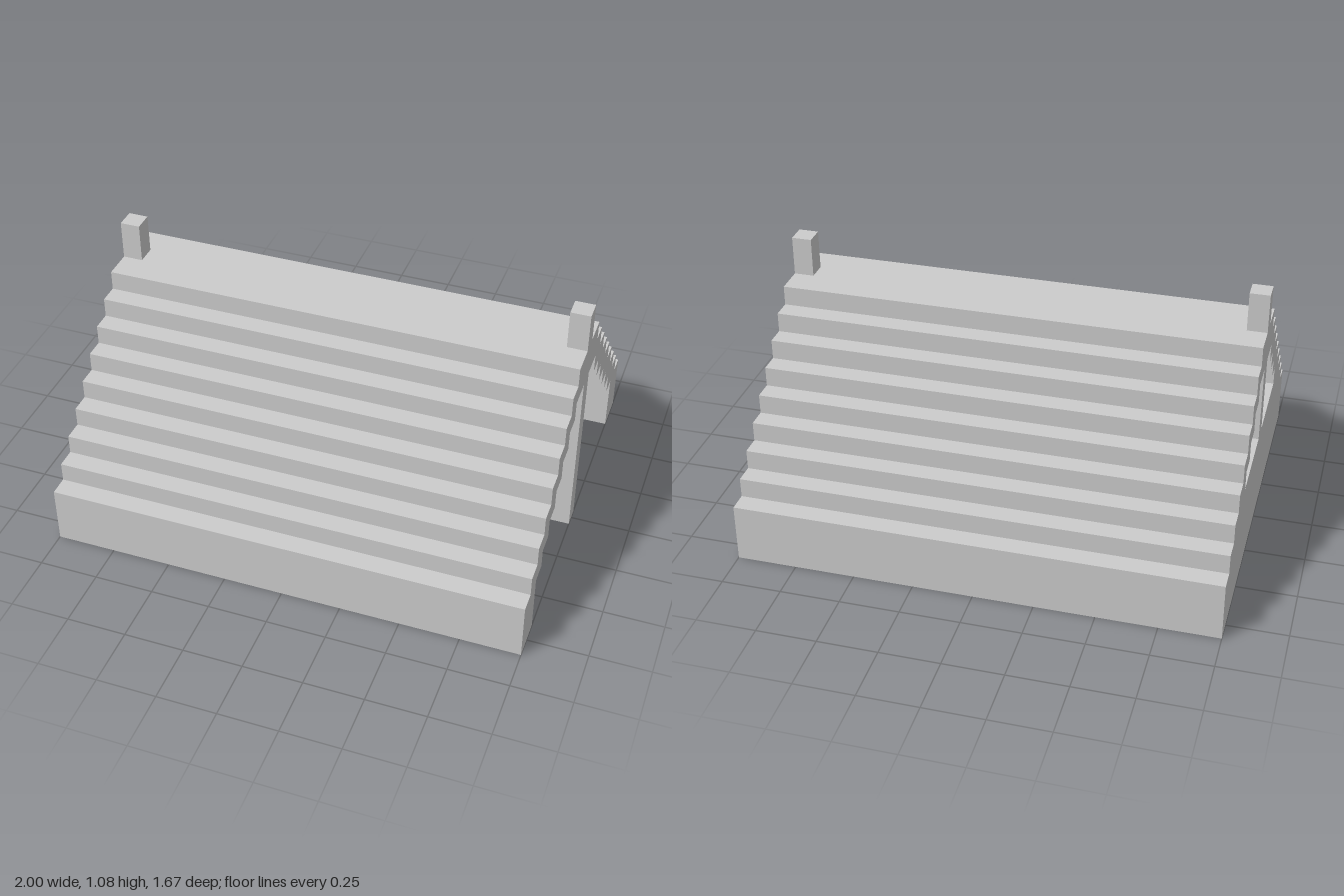
import * as THREE from 'three';

const U = 1 / 12; // block unit
const material = new THREE.MeshStandardMaterial({ color: 0xcccccc, flatShading: true });

// One side of a stepped gable: rises from (z, 0) to y0, then climbs in unit steps to yTop.
function steps(z, y0, yTop) {
  const pts = [[z, 0]];
  for (let y = y0; y < yTop; y++, z--) pts.push([z, y], [z - 1, y]);
  pts.push([z, yTop]);
  return pts;
}

// Mirrors a half profile into a full outline
function mirrored(half) {
  const other = half.map(([z, y]) => [-z, y]).reverse();
  return [...half, ...other].map(([z, y]) => new THREE.Vector2(z * U, y * U));
}

// Extrudes a gable-end profile along x
function extrudeAlongX(name, points, x0, length) {
  const geometry = new THREE.ExtrudeGeometry(new THREE.Shape(points), {
    depth: length * U, bevelEnabled: false,
  });
  geometry.rotateY(Math.PI / 2);
  geometry.translate(x0 * U, 0, 0);
  const mesh = new THREE.Mesh(geometry, material);
  mesh.name = name;
  return mesh;
}

export function createModel() {
  const model = new THREE.Group();
  model.name = 'steppedShelter';

  // Stepped roof shell with thick eaves, open underneath
  const outer = steps(10, 3, 11);
  const inner = steps(8, 3, 9);
  const shell = [
    ...mirrored(outer),
    ...mirrored(inner).reverse(),
  ];
  model.add(extrudeAlongX('roof', shell, -12, 24));

  // Low wall closing one end, fitted inside the stepped underside
  model.add(extrudeAlongX('endWall', mirrored(steps(8, 3, 5)), -12, 1));

  // Ridge posts at both ends, rising through the roof
  for (const side of [-1, 1]) {
    const post = new THREE.Mesh(new THREE.BoxGeometry(U, 13 * U, U), material);
    post.position.set(side * 11.5 * U, 6.5 * U, 0);
    post.name = side > 0 ? 'leftPost' : 'rightPost';
    model.add(post);
  }
  return model;
}
